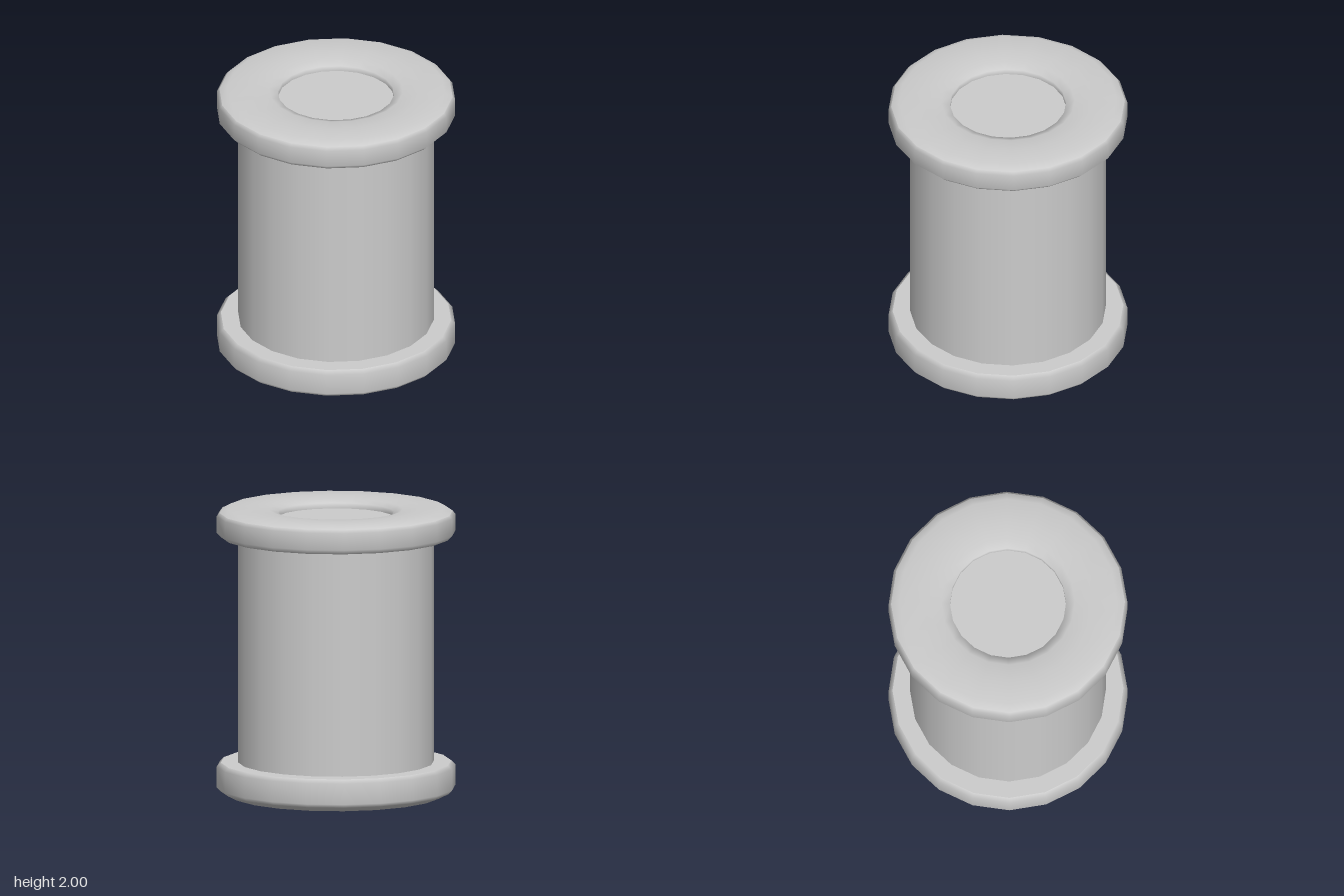
import * as THREE from 'three';

const SIDES = 20;

export function createModel() {
  const model = new THREE.Group();
  const material = new THREE.MeshStandardMaterial({ color: 0xcccccc });

  // Each run is a smooth profile of [radius, height]; separate runs meet in a crease.
  const addPart = (name, runs) => {
    const part = new THREE.Group();
    part.name = name;
    runs.forEach((run, i) => {
      const points = run.map(([r, y]) => new THREE.Vector2(r, y));
      const mesh = new THREE.Mesh(new THREE.LatheGeometry(points, SIDES), material);
      mesh.name = `${name}Surface${i + 1}`;
      part.add(mesh);
    });
    model.add(part);
  };

  // Lower flange: gently dimpled base, rounded rim, flat ledge
  addPart('lowerFlange', [
    [[0, 0.02], [0.15, 0.025], [0.28, 0.03], [0.4, 0.015], [0.55, 0], [0.73, 0], [0.8, 0.035]],
    [[0.8, 0.035], [0.823, 0.06], [0.823, 0.205], [0.795, 0.232]],
    [[0.795, 0.232], [0.675, 0.232]],
  ]);

  // Straight central barrel
  addPart('barrel', [[[0.675, 0.232], [0.675, 1.8]]]);

  // Upper flange: flat underside, rounded rim, top dipping toward the bore
  addPart('upperFlange', [
    [[0.675, 1.8], [0.79, 1.8]],
    [[0.79, 1.8], [0.823, 1.832], [0.823, 1.95], [0.805, 1.972]],
    [[0.805, 1.972], [0.75, 2], [0.58, 2], [0.46, 1.99], [0.4, 1.97], [0.4, 1.932]],
  ]);

  // Shallow floor closing the bore
  addPart('boreFloor', [[[0.4, 1.932], [0, 1.932]]]);

  return model;
}
